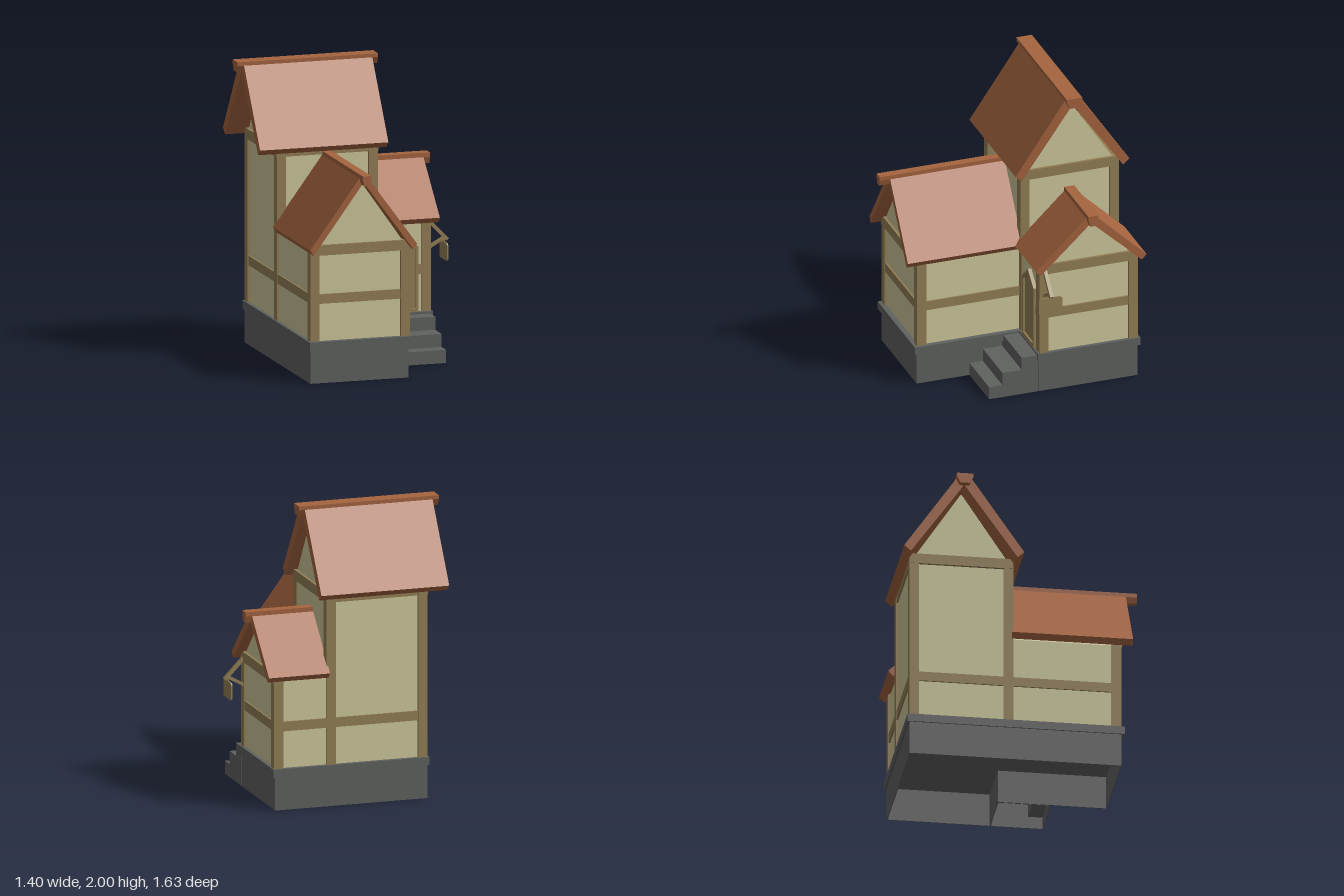
import * as THREE from 'three';

const mat = (name, color, side = THREE.FrontSide) => {
  const m = new THREE.MeshStandardMaterial({ color, side });
  m.name = name;
  return m;
};

export function createModel() {
  const plaster = mat('plaster', 0xd0ca9d);
  const timber = mat('timber', 0x948056);
  const tile = mat('roofTile', 0xa5643f);
  const stone = mat('stone', 0x606260);
  const house = new THREE.Group();
  house.name = 'timberHouse';

  const add = (parent, name, geo, material) => {
    const m = new THREE.Mesh(geo, material);
    m.name = name;
    parent.add(m);
    return m;
  };
  // box given by its limits on each axis
  const box = (parent, name, material, x0, x1, y0, y1, z0, z1) => {
    const m = add(parent, name, new THREE.BoxGeometry(x1 - x0, y1 - y0, z1 - z0), material);
    m.position.set((x0 + x1) / 2, (y0 + y1) / 2, (z0 + z1) / 2);
    return m;
  };
  const shapeOf = pts => new THREE.Shape(pts.map(p => new THREE.Vector2(...p)));
  // profile in x/y pushed along z from z0 to z1
  const prism = (parent, name, material, pts, z0, z1) =>
    add(parent, name, new THREE.ExtrudeGeometry(shapeOf(pts), { depth: z1 - z0, bevelEnabled: false })
      .translate(0, 0, z0), material);
  // half profile (x >= 0, top to bottom) mirrored to a closed outline
  const mirrored = half => [...half, ...half.slice().reverse().map(([x, y]) => [-x, y])];

  const FLOOR = 0.285, HALF = 0.35, POST = 0.065, INSET = 0.015;

  // gabled block: ridge along local z, walls, framing, roof and ridge beam
  function gabledBlock(name, o) {
    const g = new THREE.Group();
    g.name = name;
    house.add(g);
    const h = HALF - INSET;
    const wallStart = o.bothEnds ? o.z0 + INSET : o.z0;
    prism(g, 'walls', plaster,
      [[-h, FLOOR], [h, FLOOR], [h, o.eaveIn[1]], [0, o.apexIn], [-h, o.eaveIn[1]]], wallStart, o.z1 - INSET);

    const ends = o.bothEnds ? [[o.z0, 1], [o.z1, -1]] : [[o.z1, -1]];
    const postTop = o.eaveIn[1] + 0.01;
    for (const [z, d] of ends) {
      const near = (a, b) => [Math.min(z + d * a, z + d * b), Math.max(z + d * a, z + d * b)];
      for (const s of [-1, 1]) {
        const xs = [s * HALF, s * (HALF - POST)].sort((a, b) => a - b);
        box(g, 'cornerPost', timber, ...xs, FLOOR, postTop, ...near(0, POST));
      }
      box(g, 'gableBeam', timber, -HALF, HALF, o.beam, o.beam + 0.07, ...near(-0.003, 0.05));
      box(g, 'endBelt', timber, -HALF + 0.02, HALF - 0.02, 0.54, 0.605, ...near(0.004, 0.05));
    }
    for (const s of [-1, 1]) {
      const xs = [s * (HALF - 0.004), s * (HALF - 0.05)].sort((a, b) => a - b);
      box(g, 'sideBelt', timber, ...xs, 0.54, 0.605, o.z0 + 0.01, o.z1 - 0.01);
      if (o.bothEnds) box(g, 'eaveBeam', timber, ...xs, 1.4, 1.44, o.z0 + 0.01, o.z1 - 0.01);
    }

    // roof: chevron slab, ends cut square to the slope
    const r = o.ridge;
    prism(g, 'roof', tile, [
      [-o.eaveOut[0], o.eaveOut[1]], [-o.eaveIn[0], o.eaveIn[1]], [0, o.apexIn], [o.eaveIn[0], o.eaveIn[1]],
      [o.eaveOut[0], o.eaveOut[1]], [r.w, r.shoulder], [-r.w, r.shoulder]], o.roof[0], o.roof[1]);
    prism(g, 'ridgeBeam', tile,
      mirrored([[r.w, r.top], [r.w, r.shoulder], [r.w * 0.6, r.bottom]]), r.z[0], r.z[1]);
    return g;
  }

  const tower = gabledBlock('tower', {
    z0: -0.52, z1: 0.19, bothEnds: true, beam: 1.4,
    eaveOut: [0.405, 1.465], eaveIn: [0.36, 1.425], apexIn: 1.935, roof: [-0.655, 0.245],
    ridge: { w: 0.055, top: 2, shoulder: 1.975, bottom: 1.93, z: [-0.7, 0.285] },
  });
  tower.rotation.y = Math.PI / 2;
  tower.position.z = -0.41;

  const frontWing = gabledBlock('frontWing', {
    z0: -0.1, z1: 0.67, beam: 0.87,
    eaveOut: [0.375, 0.925], eaveIn: [0.35, 0.887], apexIn: 1.365, roof: [-0.07, 0.745],
    ridge: { w: 0.03, top: 1.423, shoulder: 1.395, bottom: 1.355, z: [-0.07, 0.82] },
  });
  frontWing.position.x = -0.17;

  const sideWing = gabledBlock('sideWing', {
    z0: 0.16, z1: 0.56, beam: 0.87,
    eaveOut: [0.393, 0.925], eaveIn: [0.36, 0.888], apexIn: 1.225, roof: [0.18, 0.61],
    ridge: { w: 0.036, top: 1.297, shoulder: 1.267, bottom: 1.222, z: [0.18, 0.655] },
  });
  sideWing.rotation.y = Math.PI / 2;
  sideWing.position.z = -0.41;
  box(house, 'doorwayPost', timber, 0.17, 0.215, FLOOR, 0.9, -0.12, -0.06);

  // L-shaped foundation: hollow base, solid coping
  const plan = (l, r1, r2, back, mid, front) =>
    [[l, back], [r2, back], [r2, mid], [r1, mid], [r1, front], [l, front]];
  const slab = (name, shape, y0, y1) =>
    add(house, name, new THREE.ExtrudeGeometry(shape, { depth: y1 - y0, bevelEnabled: false })
      .rotateX(Math.PI / 2).translate(0, y1, 0), stone);
  const baseShape = shapeOf(plan(-0.52, 0.17, 0.553, -0.76, -0.06, 0.67));
  baseShape.holes.push(new THREE.Path(
    plan(-0.514, 0.164, 0.547, -0.754, -0.066, 0.664).map(p => new THREE.Vector2(...p))));
  slab('foundation', baseShape, 0, 0.235);
  slab('coping', shapeOf(plan(-0.53, 0.2, 0.57, -0.775, -0.047, 0.692)), 0.23, FLOOR);

  // hollow entrance steps: thin treads between two side plates
  const steps = new THREE.Group();
  steps.name = 'steps';
  house.add(steps);
  const front = [0.295, 0.2, 0.063, -0.055], rise = 0.09;
  const outline = [[front[3], 0]];
  for (let i = 0; i < 3; i++) {
    const y = rise * (i + 1);
    outline.push([front[i], y - rise], [front[i], y]);
    box(steps, 'tread', stone, 0.172, 0.551, y - 0.006, y, front[i + 1] - 0.006, front[i]);
    box(steps, 'riser', stone, 0.172, 0.551, y - rise, y, front[i] - 0.006, front[i]);
  }
  outline.push([front[3], rise * 3]);
  for (const x of [0.172, 0.547]) {
    const side = prism(steps, 'stepSide', stone, outline.map(([z, y]) => [-z, y]), 0, 0.005);
    side.rotation.y = Math.PI / 2;
    side.position.x = x;
  }

  // pointed door with a raised frame
  const door = new THREE.Group();
  door.name = 'door';
  door.position.set(0.36, 0, -0.075);
  house.add(door);
  const arch = (w, y0, y1, y2) => [[-w, y0], [w, y0], [w, y1], [0, y2], [-w, y1]];
  const frame = shapeOf(arch(0.112, FLOOR, 0.728, 0.825));
  frame.holes.push(new THREE.Path(arch(0.094, 0.31, 0.712, 0.795).map(p => new THREE.Vector2(...p))));
  add(door, 'doorFrame', new THREE.ExtrudeGeometry(frame, { depth: 0.025, bevelEnabled: false }), timber);
  prism(door, 'doorLeaf', timber, arch(0.096, 0.3, 0.712, 0.797), 0, 0.012);

  // hanging board on a bracket
  const sign = new THREE.Group();
  sign.name = 'hangingBoard';
  sign.position.z = -0.1;
  house.add(sign);
  const bar = (name, x0, y0, x1, y1, t) => {
    const m = add(sign, name, new THREE.BoxGeometry(Math.hypot(x1 - x0, y1 - y0), t, 0.025), timber);
    m.position.set((x0 + x1) / 2, (y0 + y1) / 2, 0);
    m.rotation.z = Math.atan2(y1 - y0, x1 - x0);
  };
  bar('bracketArm', 0.545, 0.905, 0.688, 0.757, 0.024);
  bar('bracketBrace', 0.55, 0.708, 0.665, 0.772, 0.02);
  box(sign, 'hanger', timber, 0.66, 0.668, 0.74, 0.775, -0.01, 0.01);
  const b = [0.083, 0.06, 0.012];
  const board = prism(sign, 'board', timber, mirrored([
    [b[0] - b[2], b[1]], [b[0], b[1] - b[2]], [b[0], b[2] - b[1]], [b[0] - b[2], -b[1]]]), -0.005, 0.005);
  board.rotation.y = Math.PI / 2;
  board.position.set(0.664, 0.685, 0);

  return house;
}
